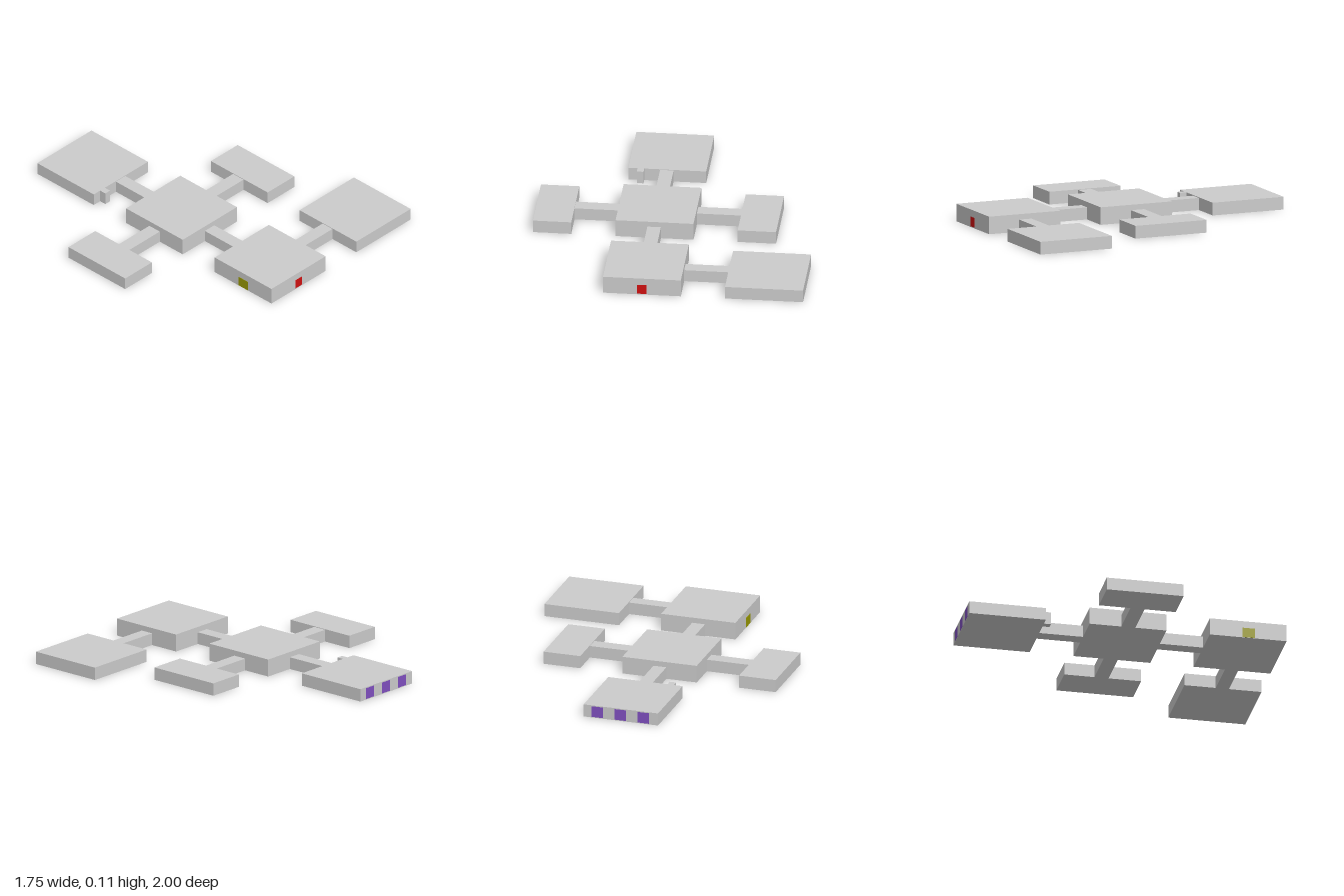
import * as THREE from 'three';

const paint = (color) => new THREE.MeshStandardMaterial({ color, flatShading: true });

export function createModel() {
  const model = new THREE.Group();
  const grey = paint(0xcccccc);

  // Box given by its extents along x, y and z
  function block(name, [x0, x1], [y0, y1], [z0, z1], material = grey) {
    const mesh = new THREE.Mesh(new THREE.BoxGeometry(x1 - x0, y1 - y0, z1 - z0), material);
    mesh.position.set((x0 + x1) / 2, (y0 + y1) / 2, (z0 + z1) / 2);
    mesh.name = name;
    model.add(mesh);
  }

  const low = [0, 0.08], tall = [0, 0.11], hall = [0, 0.076];
  const middleX = [-0.365, 0.118], middleZ = [-0.242, 0.242];
  const frontZ = [0.515, 1], hallX = [-0.168, -0.084];

  // Rooms
  block('centralRoom', middleX, tall, middleZ);
  block('frontRoom', middleX, tall, frontZ);
  block('backRoom', middleX, low, [-1, -0.518]);
  block('rightSideRoom', [-0.878, -0.64], low, middleZ);
  block('leftSideRoom', [0.392, 0.63], low, middleZ);
  block('frontLeftRoom', [0.392, 0.876], low, frontZ);

  // Corridors between the rooms
  block('frontCorridor', hallX, hall, [0.242, 0.515]);
  block('backCorridor', hallX, hall, [-0.518, -0.242]);
  block('rightCorridor', [-0.64, -0.365], hall, [-0.043, 0.046]);
  block('leftCorridor', [0.118, 0.392], hall, [-0.053, 0.036]);
  block('frontLeftCorridor', [0.118, 0.392], hall, [0.712, 0.796]);

  // Small alcove on the back room
  block('alcove', [-0.308, -0.266], low, [-0.518, -0.474]);

  // Coloured doors, set almost flush in the walls
  block('frontDoor', [-0.152, -0.095], [0.005, 0.066], [0.99, 1.001], paint(0xd01010));
  block('sideDoor', [-0.367, -0.355], [0.002, 0.065], [0.722, 0.8], paint(0x999900));
  const purple = paint(0x8050c0);
  for (const x of [-0.27, -0.12, 0.03]) {
    block('backWindow', [x - 0.037, x + 0.037], [0.004, 0.074], [-1.001, -0.99], purple);
  }

  return model;
}
